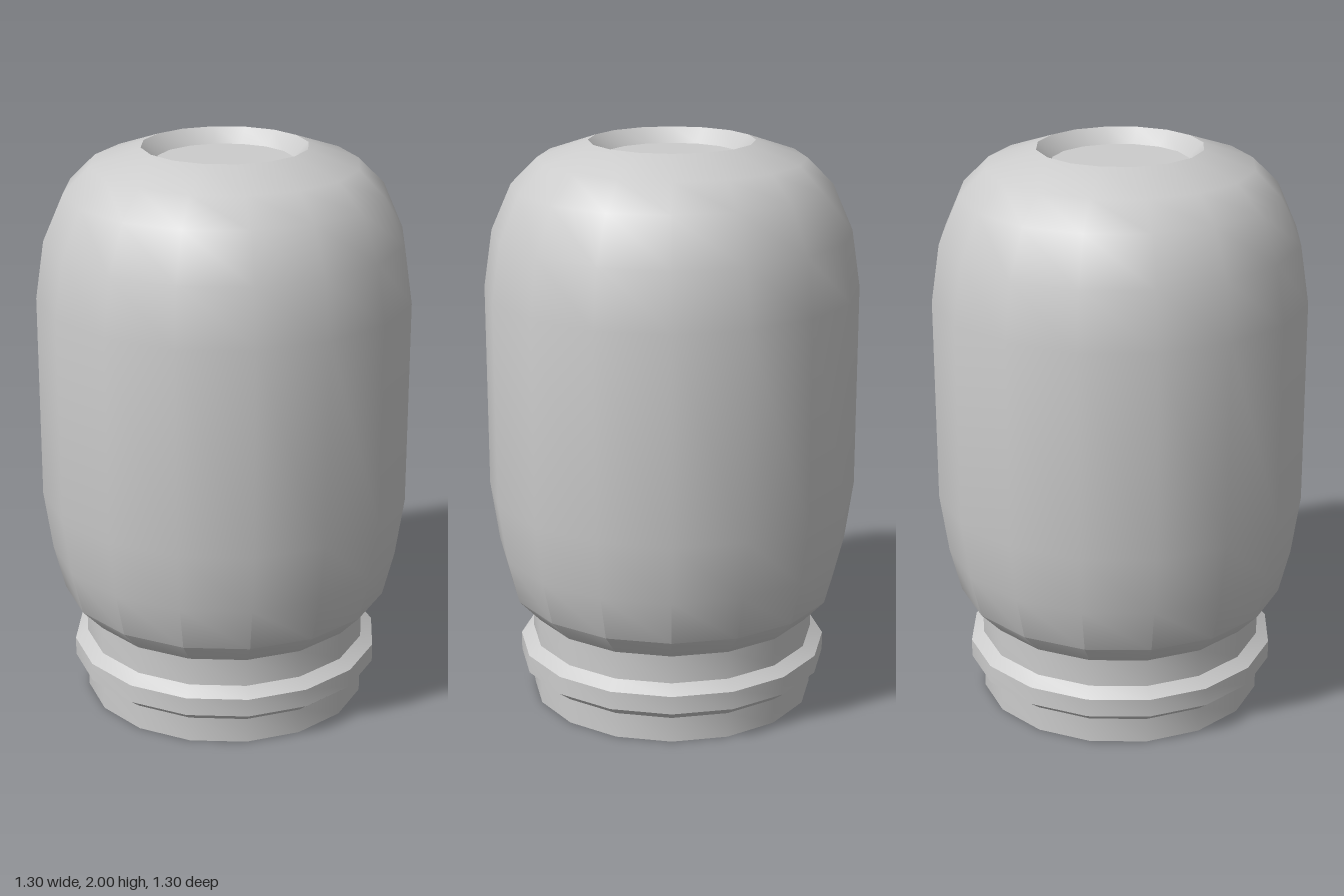
import * as THREE from 'three';
import { toCreasedNormals } from 'three/addons/utils/BufferGeometryUtils.js';

const SIDES = 16;
const WALL = 0.085;

// Outer profile [radius, y], from the open rim up to the recessed end
const neck = [[0.505, 0], [0.505, 0.09], [0.55, 0.125], [0.55, 0.19], [0.505, 0.22], [0.505, 0.32]];
const body = [[0.505, 0.32], [0.58, 0.40], [0.62, 0.56], [0.65, 0.77], [0.65, 1.49],
  [0.62, 1.69], [0.55, 1.85], [0.46, 1.94], [0.285, 2]];
const recess = [[0.285, 2], [0.235, 1.95], [0, 1.95]];

// Moves each profile point inward along its averaged normal
function offsetInward(points, t) {
  const normals = points.slice(1).map((p, i) =>
    new THREE.Vector2(p[1] - points[i][1], points[i][0] - p[0]).normalize());
  return points.map(([r, y], i) => {
    const n = new THREE.Vector2();
    if (i > 0) n.add(normals[i - 1]);
    if (i < normals.length) n.add(normals[i]);
    n.normalize();
    return [r - n.x * t, y - n.y * t];
  });
}

export function createModel() {
  const group = new THREE.Group();
  const material = new THREE.MeshStandardMaterial({ color: 0xcccccc, side: THREE.DoubleSide });

  function addTurned(name, points) {
    const lathe = new THREE.LatheGeometry(points.map(([r, y]) => new THREE.Vector2(r, y)), SIDES);
    const mesh = new THREE.Mesh(toCreasedNormals(lathe, 0.6), material);
    mesh.name = name;
    group.add(mesh);
  }

  // Outside: ringed neck, rounded body and sunken end
  addTurned('neck', neck);
  addTurned('body', body);
  addTurned('recessedEnd', recess);

  // Inside: the wall follows the outside at an even thickness
  const inner = offsetInward([...neck, ...body.slice(1)], WALL);
  inner.push([0.2, 1.865], [0, 1.865]);
  addTurned('innerWall', inner.slice().reverse());

  // Flat rim closing the wall at the opening
  addTurned('rim', [inner[0], neck[0]]);

  return group;
}
